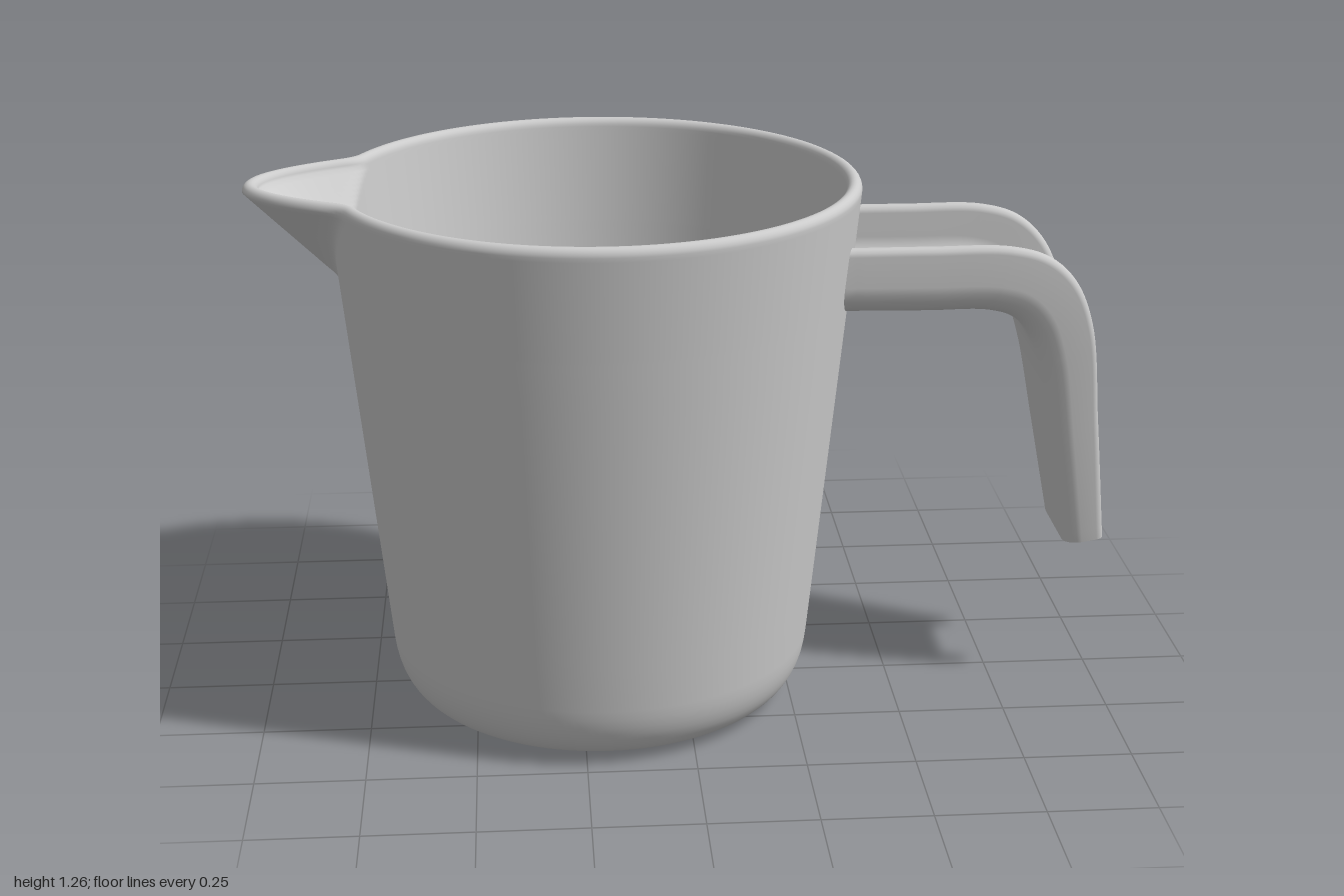
import * as THREE from 'three';

const CUP_X = -0.2;
const material = new THREE.MeshStandardMaterial({ color: 0xcccccc });

// Smooth surface through rows of points; each row is a closed ring.
function ringSurface(rows) {
  const n = rows[0].length, pos = [], idx = [];
  rows.forEach(row => row.forEach(p => pos.push(p.x, p.y, p.z)));
  for (let i = 0; i < rows.length - 1; i++) {
    for (let j = 0; j < n; j++) {
      const k = (j + 1) % n, a = i * n, b = a + n;
      idx.push(a + j, a + k, b + j, a + k, b + k, b + j);
    }
  }
  const g = new THREE.BufferGeometry();
  g.setAttribute('position', new THREE.Float32BufferAttribute(pos, 3));
  g.setIndex(idx);
  g.computeVertexNormals();
  return g;
}

function addMesh(group, name, geometry) {
  const mesh = new THREE.Mesh(geometry, material);
  mesh.name = name;
  group.add(mesh);
  return mesh;
}

// Wall radius at an angle from the spout, blended with a parabolic spout cone.
function wallRadius(base, theta, y, spout) {
  const t = Math.min((y - spout.y0) / (1.24 - spout.y0), 1);
  const c = Math.cos(theta), s = Math.sin(theta);
  if (t <= 0.001 || c < 0.3) return base;
  const a = spout.apex + t * (spout.tip - spout.apex);
  const r = 2 * a / (c + Math.sqrt(c * c + 4 * spout.k * s * s * a / t));
  const blend = 0.025 * Math.min(1, t * 2);
  const h = Math.max(blend - Math.abs(r - base), 0) / blend;
  return Math.max(r, base) + h * h * blend / 4;
}

const OUTER = { y0: 1.03, apex: 0.587, tip: 0.797, k: 4.5 };
const INNER = { y0: 1.07, apex: 0.556, tip: 0.76, k: 5.3 };
const outerBase = y => 0.5 + (y - 0.15) * 0.1;
const WALL = 0.035;

function cupGeometry() {
  const segments = 192, rows = [];
  const ring = (y, radius) => {
    const row = [];
    for (let j = 0; j < segments; j++) {
      const u = (j / segments) * Math.PI * 2;
      const theta = u - 0.6 * Math.sin(u); // denser around the spout
      const r = radius(theta);
      row.push(new THREE.Vector3(CUP_X - r * Math.cos(theta), y, r * Math.sin(theta)));
    }
    rows.push(row);
  };
  const outer = y => th => wallRadius(outerBase(y), th, y, OUTER);
  const inner = y => th => wallRadius(outerBase(y) - WALL, th, y, INNER);

  // underside with a small centre dimple, then the rounded lower edge
  [[0.0005, 0.01], [0.02, 0.008], [0.04, 0.003], [0.07, 0.003], [0.25, 0.003], [0.3, 0.001]]
    .forEach(([r, y]) => ring(y, () => r));
  const corner = new THREE.QuadraticBezierCurve(
    new THREE.Vector2(0.36, 0), new THREE.Vector2(0.486, 0), new THREE.Vector2(0.5, 0.15));
  corner.getPoints(12).forEach(p => ring(p.y, () => p.x));

  // outer wall, rounded rim, inner wall
  for (let i = 1; i <= 8; i++) { const y = 0.15 + i * 0.106; ring(y, outer(y)); }
  for (let i = 1; i <= 24; i++) { const y = 0.998 + i * 0.242 / 24; ring(y, outer(y)); }
  for (let i = 1; i < 10; i++) {
    const a = i * Math.PI / 10, w = (1 - Math.cos(a)) / 2;
    ring(1.24 + 0.02 * Math.sin(a),
      th => THREE.MathUtils.lerp(outer(1.24)(th), inner(1.24)(th), w));
  }
  for (let i = 24; i >= 0; i--) { const y = 0.998 + i * 0.242 / 24; ring(y, inner(y)); }
  for (let i = 7; i >= 0; i--) { const y = 0.15 + i * 0.106; ring(y, inner(y)); }
  [[0.43, 0.06], [0.36, 0.04], [0.0005, 0.04]].forEach(([r, y]) => ring(y, () => r));
  return ringSurface(rows);
}

// U-shaped channel section as (across, height) points, closed loop.
function channelSection(W, H) {
  const half = [], c = 0.07 * H / 0.16, f = 0.055 * H / 0.16, e = 0.018, floor = 0.03;
  const arc = (cx, cy, r, from, to) => {
    for (let i = 0; i <= 6; i++) {
      const a = from + (to - from) * i / 6;
      half.push([cx + r * Math.cos(a), cy + r * Math.sin(a)]);
    }
  };
  arc(W - c, c, c, -Math.PI / 2, 0);                          // outside corner
  arc(W - e, H - e, e, 0, Math.PI);                           // rounded lip
  arc(W - 2 * e - f, floor + f, f, 0, -Math.PI / 2);          // inside fillet
  return [[0, 0], ...half, [0, floor], ...half.map(([x, y]) => [-x, y]).reverse()];
}

// Inner-edge and lip-edge points along the handle: xi, yi, xo, yo
const STATIONS = [
  [0.36, 0.97, 0.36, 1.13], [0.55, 0.967, 0.55, 1.13], [0.69, 0.965, 0.73, 1.127],
  [0.75, 0.945, 0.82, 1.1], [0.79, 0.9, 0.885, 1.04], [0.82, 0.815, 0.932, 0.93],
  [0.861, 0.61, 0.964, 0.69], [0.907, 0.367, 1.0, 0.382],
];

function buildHandle(group) {
  const curve = k => new THREE.CatmullRomCurve3(
    STATIONS.map(s => new THREE.Vector3(s[k], s[k + 1], 0)));
  const back = curve(0), lip = curve(2), rows = [], steps = 70;
  let section;
  for (let i = 0; i <= steps; i++) {
    const p = back.getPoint(i / steps), q = lip.getPoint(i / steps);
    const H = p.distanceTo(q), dir = q.clone().sub(p).divideScalar(H);
    section = channelSection(0.13 + 0.075 * (q.y - 0.38) / 0.75, H);
    rows.push(section.map(([a, h]) => {
      const v = p.clone().addScaledVector(dir, h);
      v.z = -a;
      // first ring is buried in the curved wall
      if (i === 0) v.x = CUP_X + Math.sqrt(0.58 * 0.58 - a * a);
      return v;
    }));
  }
  addMesh(group, 'handleChannel', ringSurface(rows));

  // flat lower end of the channel
  const faces = THREE.ShapeUtils.triangulateShape(
    section.map(([a, h]) => new THREE.Vector2(a, h)), []);
  const cap = new THREE.BufferGeometry().setFromPoints(rows[steps]);
  cap.setIndex(faces.flat());
  cap.computeVertexNormals();
  addMesh(group, 'handleEnd', cap);
}

export function createModel() {
  const model = new THREE.Group();
  model.name = 'measuringJug';

  addMesh(model, 'jugBody', cupGeometry());

  // level surface inside the jug
  const fill = addMesh(model, 'fillSurface', new THREE.CircleGeometry(0.532, 96));
  fill.rotation.x = -Math.PI / 2;
  fill.position.set(CUP_X, 0.77, 0);

  const handle = new THREE.Group();
  handle.name = 'handle';
  buildHandle(handle);
  model.add(handle);
  return model;
}
